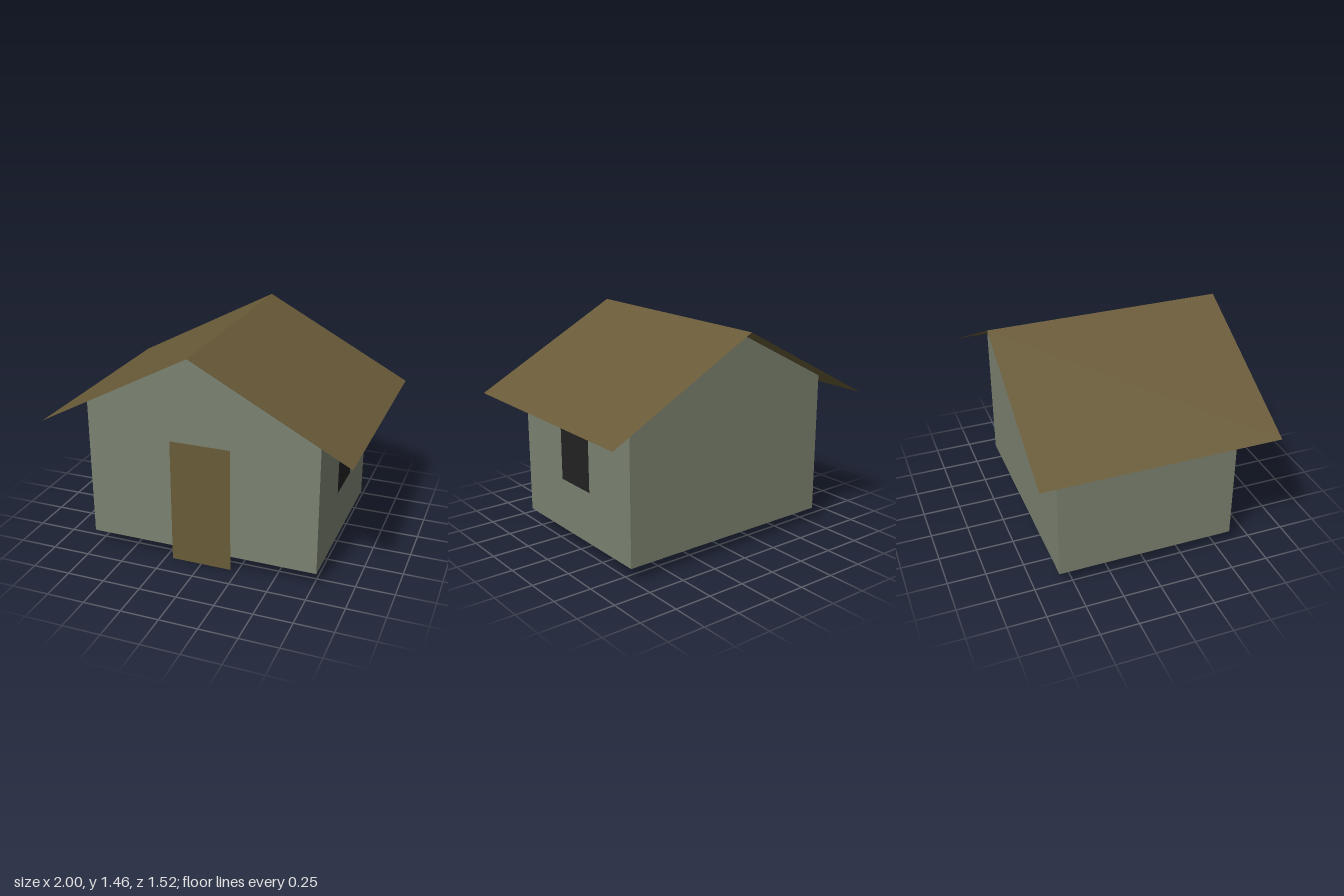
import * as THREE from 'three';

const flat = (name, color) => {
  const m = new THREE.MeshStandardMaterial({ color, side: THREE.DoubleSide });
  m.name = name;
  return m;
};

export function createModel() {
  const model = new THREE.Group();
  model.name = 'house';
  const wallPaint = flat('sage wall', 0x7b8270);
  const wood = flat('brown wood', 0x695b38);
  const glass = flat('dark glass', 0x222222);

  const halfW = 0.77, halfD = 0.592, floor = 0.095, eave = 1.045, ridge = 1.449;

  const add = (name, geometry, material, x, y, z, turn = 0) => {
    const mesh = new THREE.Mesh(geometry, material);
    mesh.name = name;
    mesh.position.set(x, y, z);
    mesh.rotation.y = turn;
    model.add(mesh);
    return mesh;
  };

  // Gable walls, front and back
  const gable = new THREE.ShapeGeometry(new THREE.Shape([
    new THREE.Vector2(-halfW, floor),
    new THREE.Vector2(halfW, floor),
    new THREE.Vector2(halfW, eave),
    new THREE.Vector2(0, ridge),
    new THREE.Vector2(-halfW, eave),
  ]));
  add('frontWall', gable, wallPaint, 0, 0, halfD);
  add('backWall', gable, wallPaint, 0, 0, -halfD, Math.PI);

  // Side walls; the shell stays open underneath
  const sideWall = new THREE.PlaneGeometry(2 * halfD, eave - floor);
  // Thin sloping roof panels with wide overhangs
  const roofTop = 1.457, roofEdge = 0.927, roofDepth = 1.524;
  const slope = Math.atan2(roofTop - roofEdge, 1);
  const panel = new THREE.PlaneGeometry(Math.hypot(1, roofTop - roofEdge), roofDepth);
  panel.rotateX(-Math.PI / 2);

  for (const [side, s] of [['left', 1], ['right', -1]]) {
    add(side + 'Wall', sideWall, wallPaint, s * halfW, (floor + eave) / 2, 0, s * Math.PI / 2);
    const roof = add(side + 'Roof', panel, wood, s * 0.5, (roofTop + roofEdge) / 2, 0);
    roof.rotation.z = -s * slope;
  }

  // Door reaching the ground, and a single window on the left wall
  add('door', new THREE.PlaneGeometry(0.404, 0.842), wood, 0, 0.421, halfD + 0.005);
  add('window', new THREE.PlaneGeometry(0.318, 0.385), glass, halfW + 0.005, 0.638, 0, Math.PI / 2);

  return model;
}
